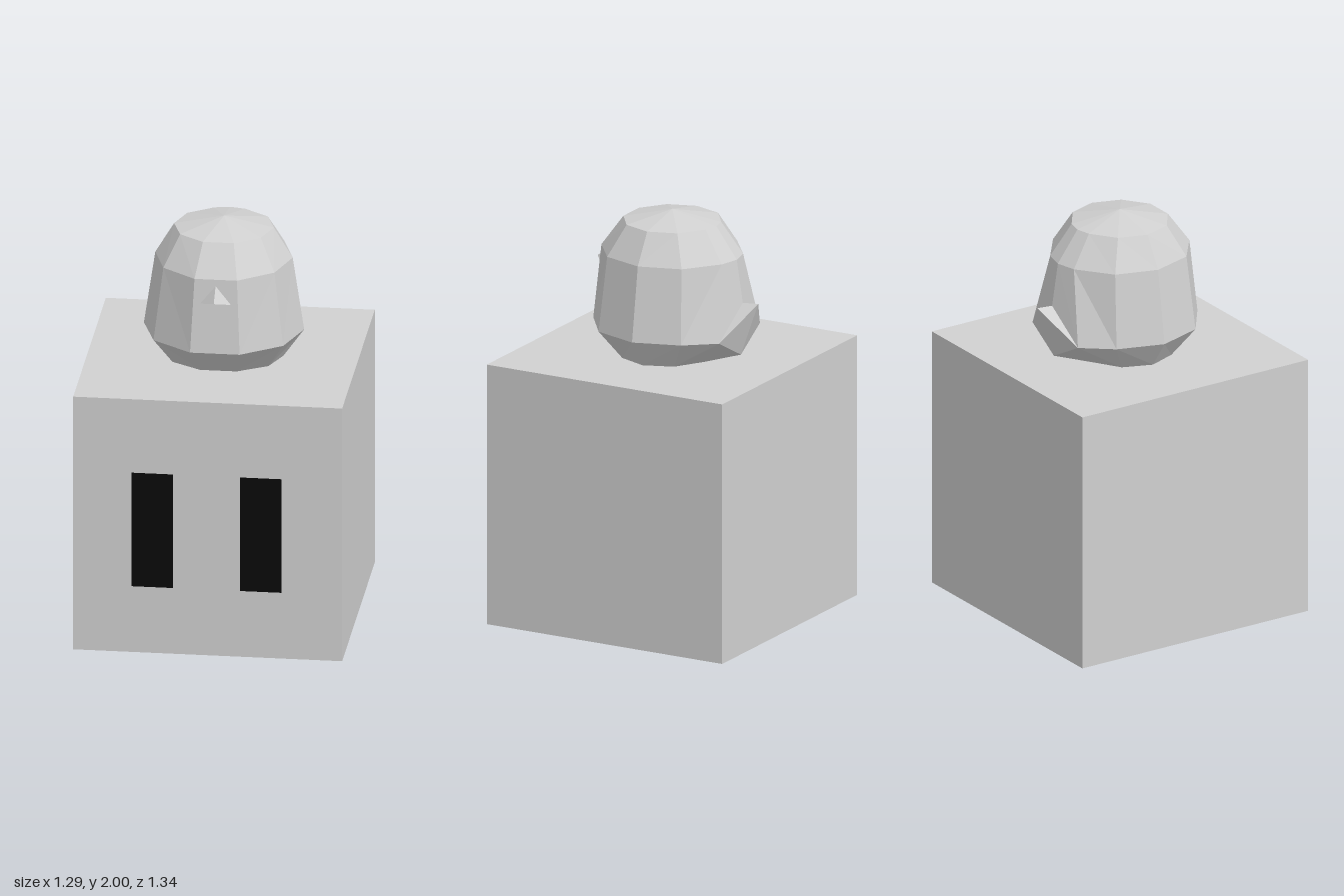
import * as THREE from 'three';

const grey = new THREE.MeshStandardMaterial({ color: 0xd0d0d0, flatShading: true });
grey.name = 'light grey';
const black = new THREE.MeshStandardMaterial({ color: 0x0a0a0a, side: THREE.DoubleSide });
black.name = 'black';

// Faceted mesh from a list of triangles, each three [x, y, z] corners
function facets(name, triangles) {
  const geometry = new THREE.BufferGeometry();
  geometry.setAttribute('position', new THREE.Float32BufferAttribute(triangles.flat(2), 3));
  geometry.computeVertexNormals();
  const mesh = new THREE.Mesh(geometry, grey);
  mesh.name = name;
  return mesh;
}

const CENTRE_Z = -0.025;

// Decagon ring with one extra point in the middle of the back
function ring(y, rx, rz) {
  const half = [72, 36, 0, -36, -72].map((deg) => {
    const a = THREE.MathUtils.degToRad(deg);
    return [rx * Math.cos(a), y, CENTRE_Z + rz * Math.sin(a)];
  });
  const mirrored = half.map(([x, h, z]) => [-x, h, z]).reverse();
  return [...half, [0, y, CENTRE_Z - rz * 1.02], ...mirrored];
}

// Band of facets between two rings, with diagonals mirrored left to right
function band(lo, hi) {
  return lo.flatMap((a, i) => {
    const j = (i + 1) % lo.length;
    const b = lo[j], c = hi[j], d = hi[i];
    return i < 5 ? [[a, b, c], [a, c, d]] : [[a, b, d], [b, c, d]];
  });
}

export function createModel() {
  const group = new THREE.Group();
  group.name = 'blockFigure';

  // Cube body
  const body = new THREE.Mesh(new THREE.BoxGeometry(1.292, 1.295, 1.295), grey);
  body.position.set(0, 0.6475, -0.0235);
  body.name = 'body';
  group.add(body);

  // Flat eyes standing just off the front
  for (const side of [-1, 1]) {
    const eye = new THREE.Mesh(new THREE.PlaneGeometry(0.2, 0.582), black);
    eye.position.set(side * 0.26, 0.646, 0.67);
    eye.name = side > 0 ? 'leftEye' : 'rightEye';
    group.add(eye);
  }

  // Small bird: the widest ring is drawn out to the corners of the tail
  const base = ring(1.295, 0.285, 0.242);
  const wide = ring(1.435, 0.385, 0.385);
  const shoulder = ring(1.8, 0.33, 0.348);
  const crown = ring(1.95, 0.24, 0.238);
  const tailLeft = [0.195, 1.435, -0.395];
  const tailRight = [-0.195, 1.435, -0.395];
  const tailRoot = [0, 1.59, -0.413];
  const tailKeel = [0, 1.33, -0.403];
  const tailTip = [0, 1.597, -0.498];
  wide[4] = tailLeft;
  wide[6] = tailRight;
  const wideAbove = wide.with(5, tailRoot);
  const wideBelow = wide.with(5, tailKeel);
  const peak = [0, 2, CENTRE_Z];

  const bird = new THREE.Group();
  bird.name = 'bird';
  bird.add(facets('birdBody', [
    ...band(base, wideBelow),
    ...band(wideAbove, shoulder),
    ...band(shoulder, crown),
    ...crown.map((p, i) => [p, crown[(i + 1) % crown.length], peak]),
  ]));
  bird.add(facets('tail', [
    [tailLeft, tailTip, tailRoot],
    [tailRight, tailRoot, tailTip],
    [tailLeft, tailKeel, tailTip],
    [tailRight, tailTip, tailKeel],
  ]));

  // Three-sided beak
  const top = [0, 1.772, 0.305];
  const left = [0.08, 1.677, 0.312];
  const right = [-0.08, 1.677, 0.312];
  const tip = [0, 1.706, 0.385];
  bird.add(facets('beak', [[left, top, tip], [top, right, tip], [right, left, tip]]));
  group.add(bird);

  return group;
}
